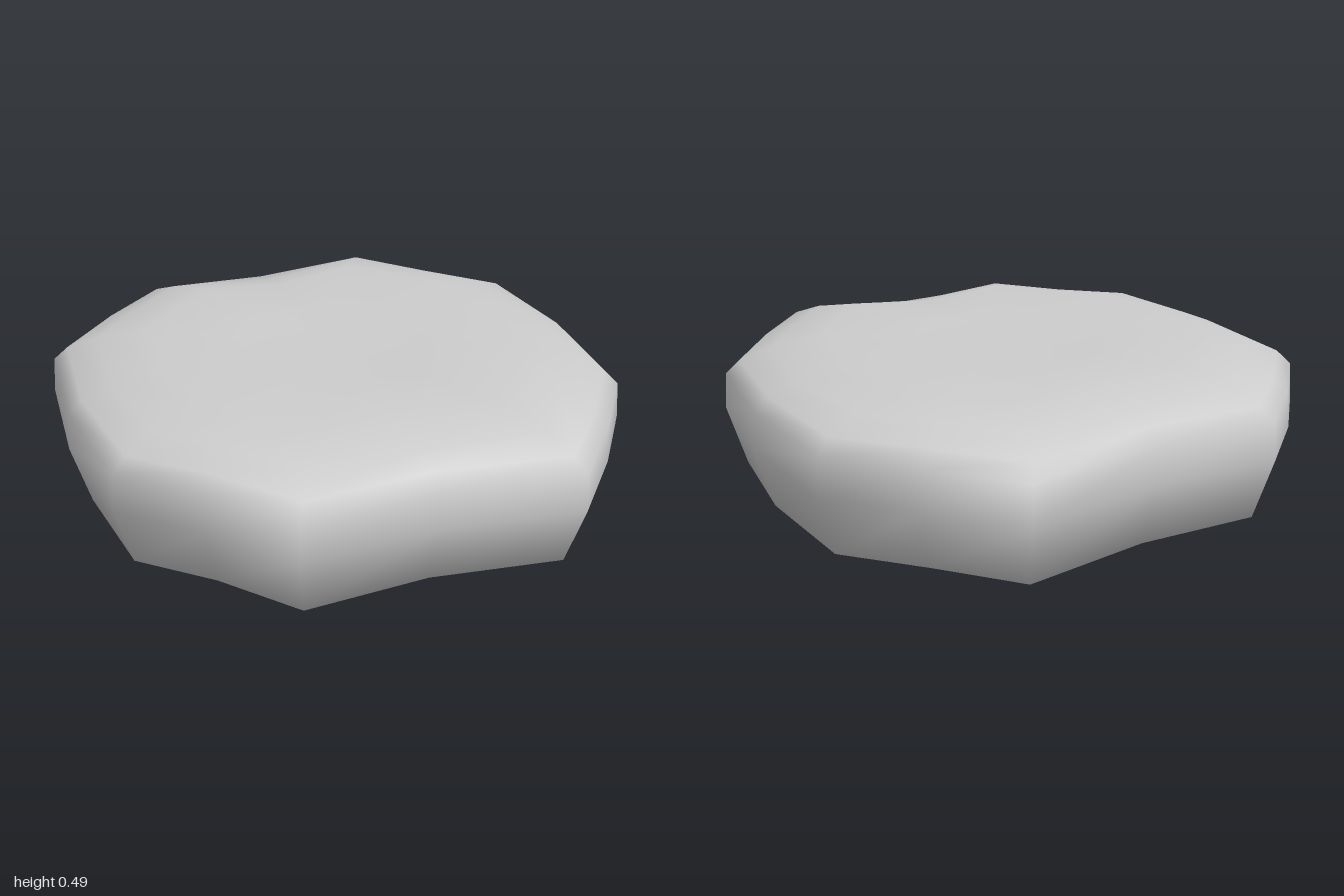
import * as THREE from 'three';

// Plan outline at the widest level, as [x, z], running round from +x towards the back
const OUTLINE = [
  [0.985, 0], [0.95, -0.48], [0.72, -0.73], [0.49, -1],
  [0, -0.93], [-0.47, -0.95], [-0.72, -0.73], [-0.95, -0.48],
  [-0.985, 0], [-0.93, 0.46], [-0.69, 0.68], [-0.47, 0.95],
  [0, 0.925], [0.49, 0.995], [0.72, 0.74], [0.93, 0.46],
];

// Side profile from base to top, as [outline scale, height]
const PROFILE = [
  [0.935, 0], [1, 0.22], [0.99, 0.35], [0.94, 0.4], [0.83, 0.445], [0.65, 0.485], [0.33, 0.475],
];

// The top sags a little towards the notches at front and back
function sag(x, z, y) {
  const notch = Math.max(0, 1 - Math.abs(x) / 0.3) * Math.min(1, Math.abs(z) / 0.3);
  return y > 0.44 ? y - 0.02 * notch : y;
}

function stoneGeometry() {
  const positions = [];
  const index = [];
  const n = OUTLINE.length;

  // Rings of the body
  for (const [scale, y] of PROFILE) {
    for (const [ox, oz] of OUTLINE) {
      const x = ox * scale, z = oz * scale;
      positions.push(x, sag(x, z, y), z);
    }
  }
  // Centres of the base and the top
  const base = positions.length / 3;
  positions.push(0, 0, 0, 0, 0.46, 0);

  const last = (PROFILE.length - 1) * n;
  for (let i = 0; i < n; i++) {
    const j = (i + 1) % n;
    for (let r = 0; r < last; r += n) {
      index.push(r + i, r + j, r + n + j, r + i, r + n + j, r + n + i);
    }
    index.push(base, j, i);
    index.push(base + 1, last + i, last + j);
  }

  const geometry = new THREE.BufferGeometry();
  geometry.setAttribute('position', new THREE.Float32BufferAttribute(positions, 3));
  geometry.setIndex(index);
  geometry.computeVertexNormals();
  return geometry;
}

export function createModel() {
  const group = new THREE.Group();
  group.name = 'flatStone';
  const body = new THREE.Mesh(stoneGeometry(), new THREE.MeshStandardMaterial({ color: 0xcccccc }));
  body.name = 'stoneBody';
  group.add(body);
  return group;
}
